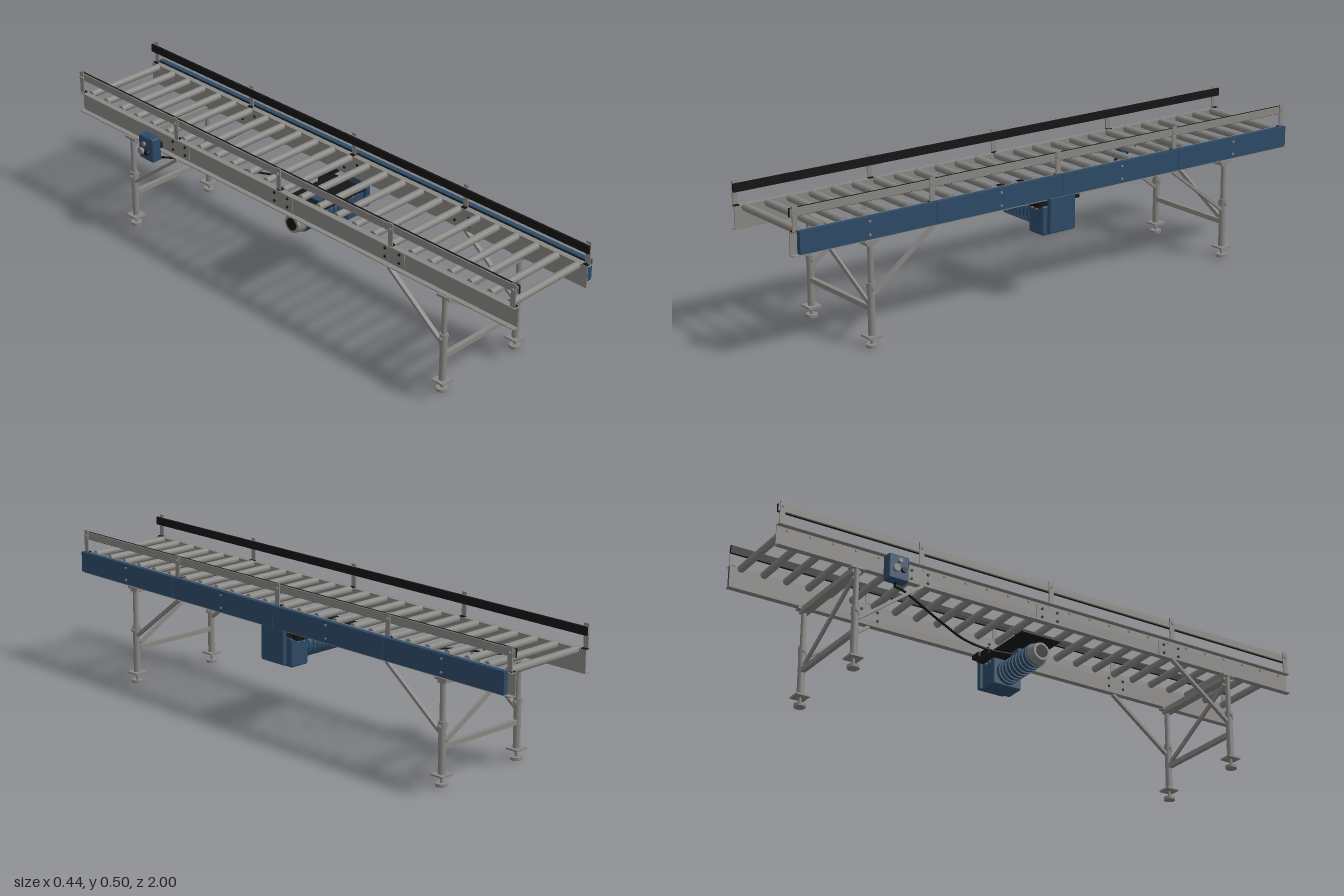
import * as THREE from 'three';
import { RoundedBoxGeometry } from 'three/addons/geometries/RoundedBoxGeometry.js';

const mat = (name, color) => {
  const m = new THREE.MeshStandardMaterial({ color });
  m.name = name;
  return m;
};

export function createModel() {
  const steel = mat('steel grey', 0x878683);
  const blue = mat('painted blue', 0x2c4a66);
  const black = mat('black', 0x151515);
  const model = new THREE.Group();
  model.name = 'rollerConveyor';

  const group = (name, parent = model) => {
    const g = new THREE.Group();
    g.name = name;
    parent.add(g);
    return g;
  };
  const add = (parent, name, geometry, material, x = 0, y = 0, z = 0) => {
    const m = new THREE.Mesh(geometry, material);
    m.name = name;
    m.position.set(x, y, z);
    parent.add(m);
    return m;
  };
  // Box given by its limits on each axis
  const box = (parent, name, material, x0, x1, y0, y1, z0, z1) =>
    add(parent, name, new THREE.BoxGeometry(x1 - x0, y1 - y0, z1 - z0), material,
      (x0 + x1) / 2, (y0 + y1) / 2, (z0 + z1) / 2);
  const rounded = (parent, name, material, x0, x1, y0, y1, z0, z1, r) =>
    add(parent, name, new RoundedBoxGeometry(x1 - x0, y1 - y0, z1 - z0, 2, r), material,
      (x0 + x1) / 2, (y0 + y1) / 2, (z0 + z1) / 2);
  // Cylinder lying along x
  const rodX = (parent, name, material, r, x0, x1, y, z, sides = 20, r2 = r) => {
    const g = new THREE.CylinderGeometry(r2, r, x1 - x0, sides);
    g.rotateZ(-Math.PI / 2);
    return add(parent, name, g, material, (x0 + x1) / 2, y, z);
  };
  const rodY = (parent, name, material, r, y0, y1, x, z, sides = 20) =>
    add(parent, name, new THREE.CylinderGeometry(r, r, y1 - y0, sides), material, x, (y0 + y1) / 2, z);
  // Rectangular bar between two points
  const bar = (parent, name, a, b, w, d) => {
    const p = new THREE.Vector3(...a), q = new THREE.Vector3(...b);
    const m = add(parent, name, new THREE.BoxGeometry(w, d, p.distanceTo(q)), steel);
    m.position.copy(p).lerp(q, 0.5);
    m.lookAt(q);
    return m;
  };

  // Side parts are built about the conveyor's middle and mirrored
  const CX = 0.0165;
  for (const s of [-1, 1]) {
    const side = group(s < 0 ? 'rightSide' : 'leftSide');
    const sx = (name, m, a, b, ...rest) => box(side, name, m,
      CX + Math.min(s * a, s * b), CX + Math.max(s * a, s * b), ...rest);

    // Channel with flanges turned outwards
    sx('frameWeb', steel, 0.158, 0.161, 0.345, 0.42, -1, 1);
    sx('topFlange', steel, 0.158, 0.179, 0.417, 0.42, -1, 1);
    sx('bottomFlange', steel, 0.158, 0.179, 0.345, 0.348, -1, 1);

    // Guide rail: steel outside, black wear strip inside
    sx('guideRail', steel, 0.165, 0.169, 0.467, 0.492, -1, 1);
    sx('wearStrip', black, 0.157, 0.165, 0.465, 0.492, -1, 1);
    for (let i = -2; i <= 2; i++) {
      const z = i * 0.494;
      sx('railPost', steel, 0.171, 0.175, 0.42, 0.5, z - 0.009, z + 0.009);
      sx('postFoot', black, 0.16, 0.175, 0.419, 0.423, z - 0.009, z + 0.009);
      const x = CX + s * 0.173;
      rodX(side, 'railBolt', steel, 0.005, x - 0.007, x + 0.007, 0.48, z, 6);
    }
    for (const z of [-0.494, 0, 0.494]) {
      sx('splicePlate', steel, 0.161, 0.164, 0.355, 0.41, z - 0.05, z + 0.05);
      for (const dz of [-0.03, 0.03]) for (const y of [0.367, 0.397]) {
        const x = CX + s * 0.161;
        rodX(side, 'spliceBolt', black, 0.005, x - 0.006, x + 0.006, y, z + dz, 6);
      }
    }
  }

  // Rollers and their shafts
  const rollers = group('rollers');
  for (let i = 0; i < 25; i++) {
    const z = (i - 12) * 0.0803;
    rodX(rollers, 'roller', steel, 0.0125, -0.138, 0.17, 0.414, z, 24);
    rodX(rollers, 'rollerShaft', steel, 0.005, -0.149, 0.182, 0.41, z, 6);
  }

  // Leg frames
  for (const e of [-1, 1]) {
    const z = e * 0.725;
    const frame = group(e > 0 ? 'frontLegFrame' : 'backLegFrame');
    for (const x of [-0.157, 0.188]) {
      rodY(frame, 'lowerLeg', steel, 0.0118, 0.036, 0.19, x, z, 24);
      rodY(frame, 'legCollar', steel, 0.0135, 0.182, 0.208, x, z, 24);
      rodY(frame, 'upperLeg', steel, 0.009, 0.2, 0.345, x, z, 24);
      rodX(frame, 'clampBolt', steel, 0.004, x - 0.02, x + 0.02, 0.192, z, 12);
      for (const d of [-1, 1])
        rodX(frame, 'clampNut', steel, 0.007, x + d * 0.015 - 0.003, x + d * 0.015 + 0.003, 0.192, z, 6);
      box(frame, 'footPlate', steel, x - 0.024, x + 0.024, 0.033, 0.039, z - 0.024, z + 0.024);
      rodY(frame, 'footScrew', steel, 0.005, 0.009, 0.034, x, z, 12);
      rodY(frame, 'footDisc', steel, 0.0195, 0, 0.01, x, z, 24);
      // Strut running from the leg to the side channel
      bar(frame, 'longStrut', [x, 0.172, e * 0.716], [x, 0.345, e * 0.49], 0.014, 0.01);
      box(frame, 'legHead', steel, x - 0.012, x + 0.012, 0.338, 0.346, z - 0.025, z + 0.025);
    }
    box(frame, 'topCrossbar', steel, -0.157, 0.196, 0.327, 0.346, z - 0.015, z + 0.015);
    box(frame, 'lowerCrossbar', steel, -0.148, 0.178, 0.118, 0.134, z - 0.008, z + 0.008);
    bar(frame, 'crossBrace', [-0.14, 0.318, z], [0.172, 0.14, z], 0.008, 0.014);
  }

  // Chain guard in four lengths, with cover screws
  const guard = group('chainGuard');
  for (let i = 0; i < 4; i++) {
    const z0 = -0.988 + i * 0.494;
    box(guard, 'guardSection', blue, 0.197, 0.214, 0.355, 0.427, z0 + 0.001, z0 + 0.493);
    for (const y of [0.37, 0.413])
      rodX(guard, 'guardScrew', steel, 0.004, 0.213, 0.217, y, z0 + 0.247, 12);
  }
  box(guard, 'guardBacking', black, 0.195, 0.2, 0.358, 0.424, -0.985, 0.985);
  for (const z of [-0.9, -0.45, 0.45, 0.9])
    box(guard, 'guardBracket', steel, 0.177, 0.196, 0.375, 0.405, z - 0.012, z + 0.012);
  rounded(guard, 'driveCover', blue, 0.197, 0.215, 0.237, 0.357, -0.052, 0.052, 0.004);

  // Gear motor hung below the rollers
  const drive = group('gearMotor');
  const my = 0.271;
  rounded(drive, 'gearbox', blue, 0.107, 0.18, 0.222, 0.32, -0.055, 0.055, 0.006);
  rodX(drive, 'outputHub', blue, 0.03, 0.175, 0.2, my, 0);
  for (const x of [0.127, 0.15])
    for (const e of [-1, 1]) {
      const g = new THREE.CylinderGeometry(0.004, 0.004, 0.004, 6);
      g.rotateX(Math.PI / 2);
      add(drive, 'gearboxBolt', g, steel, x, 0.308, e * 0.056);
    }
  rodX(drive, 'motorBody', blue, 0.036, -0.07, 0.108, my, 0, 32);
  rodX(drive, 'motorFlange', blue, 0.042, 0.094, 0.108, my, 0, 32);
  for (let i = 0; i < 8; i++) {
    const x = -0.062 + i * 0.02;
    rodX(drive, 'coolingFin', blue, 0.041, x, x + 0.008, my, 0, 32);
  }
  rodX(drive, 'fanCover', steel, 0.031, -0.1, -0.068, my, 0, 32, 0.037);
  rodX(drive, 'fanGrille', black, 0.022, -0.102, -0.099, my, 0, 24);
  box(drive, 'junctionBox', blue, 0.002, 0.052, 0.302, 0.327, -0.024, 0.024);

  // Motor mount: black plate with turned-up hanger edges
  const mount = group('motorMount');
  box(mount, 'mountPlate', black, -0.11, 0.174, 0.317, 0.323, -0.08, 0.068);
  for (const z of [-0.078, 0.066]) {
    box(mount, 'mountEdge', black, 0.1, 0.174, 0.32, 0.346, z - 0.002, z + 0.002);
    box(mount, 'mountLug', black, 0.15, 0.19, 0.33, 0.346, z - 0.01, z + 0.01);
  }

  // Control box with push buttons
  const control = group('controlBox');
  rounded(control, 'controlHousing', blue, -0.204, -0.166, 0.318, 0.405, -0.637, -0.565, 0.005);
  box(control, 'controlBracket', black, -0.167, -0.144, 0.352, 0.372, -0.62, -0.582);
  for (const [y, z, r, m] of [[0.352, -0.615, 0.012, steel], [0.352, -0.588, 0.009, black], [0.382, -0.601, 0.008, steel]]) {
    rodX(control, 'buttonCollar', black, r * 0.75, -0.211, -0.203, y, z);
    rodX(control, 'button', m, r, -0.219 + (0.012 - r), -0.209, y, z);
  }

  // Power cable from the control box to the motor
  const path = new THREE.CatmullRomCurve3([
    [-0.185, 0.322, -0.6], [-0.165, 0.316, -0.595], [-0.14, 0.322, -0.55], [-0.02, 0.315, -0.33],
    [0.045, 0.314, -0.2], [0.062, 0.314, -0.09], [0.045, 0.312, -0.02],
  ].map(p => new THREE.Vector3(...p)));
  add(model, 'powerCable', new THREE.TubeGeometry(path, 48, 0.004, 8), black);

  return model;
}
